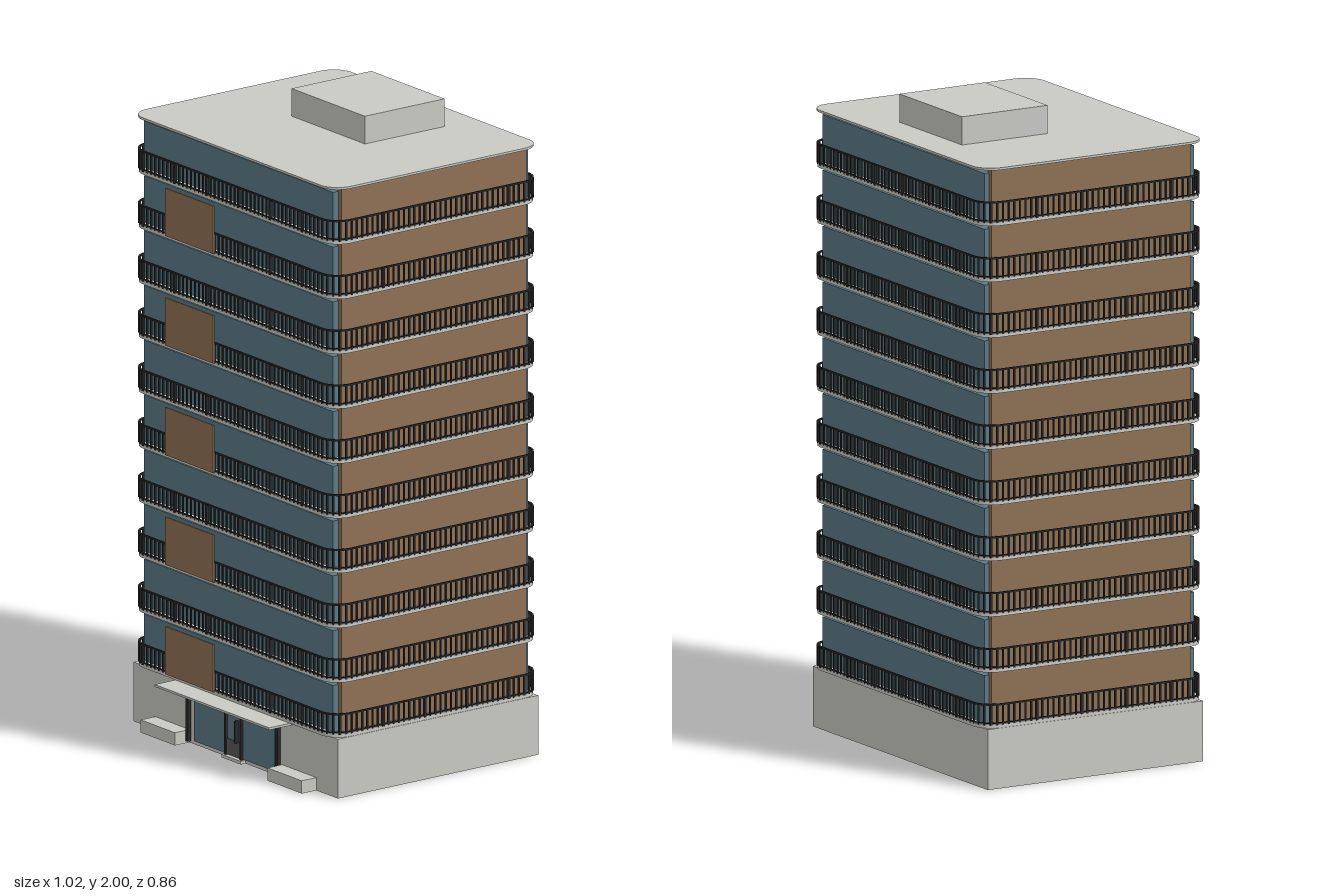
import * as THREE from 'three';
import { mergeGeometries } from 'three/addons/utils/BufferGeometryUtils.js';

const CZ = -0.038;            // centre of the tower in z
const FLOORS = 10, PITCH = 0.172, FIRST = 0.186, SLAB = 0.012;

const mat = (name, color) => {
  const m = new THREE.MeshStandardMaterial({ color });
  m.name = name;
  return m;
};

// Rounded rectangle outline; used for slabs and railings
function outline(hx, hz, r, target = new THREE.Shape()) {
  target.moveTo(-hx + r, -hz);
  target.lineTo(hx - r, -hz);
  target.absarc(hx - r, -hz + r, r, -Math.PI / 2, 0, false);
  target.lineTo(hx, hz - r);
  target.absarc(hx - r, hz - r, r, 0, Math.PI / 2, false);
  target.lineTo(-hx + r, hz);
  target.absarc(-hx + r, hz - r, r, Math.PI / 2, Math.PI, false);
  target.lineTo(-hx, -hz + r);
  target.absarc(-hx + r, -hz + r, r, Math.PI, Math.PI * 1.5, false);
  return target;
}

// Flat slab lying on y = 0
function flat(shape, depth) {
  const g = new THREE.ExtrudeGeometry(shape, { depth, bevelEnabled: false, curveSegments: 8 });
  return g.rotateX(-Math.PI / 2);
}

// Top rail, bottom rail and uprights as one geometry
function railingGeometry() {
  const ring = outline(0.507, 0.394, 0.065);
  ring.holes.push(outline(0.501, 0.388, 0.059, new THREE.Path()));
  const parts = [
    flat(ring, 0.005).translate(0, 0.061, 0),
    flat(ring, 0.003).translate(0, 0.005, 0),
  ].map(g => g.toNonIndexed ? (g.index ? g.toNonIndexed() : g) : g);
  const path = outline(0.504, 0.391, 0.062);
  const count = 176;
  path.getSpacedPoints(count).slice(0, count).forEach((p, i) => {
    const w = i % 8 === 0 ? 0.008 : 0.005;
    const bar = new THREE.BoxGeometry(w, 0.064, w).toNonIndexed();
    parts.push(bar.translate(p.x, 0.032, -p.y));
  });
  return mergeGeometries(parts);
}

export function createModel() {
  const model = new THREE.Group();
  model.name = 'apartmentTower';

  const concrete = mat('concrete', 0xc9cac4);
  const glass = mat('blueGlass', 0x5c7a85);
  const brown = mat('brownCladding', 0x8f7055);
  const dark = mat('darkMetal', 0x2b2b2d);
  const grey = mat('doorGrey', 0x5a5a5a);

  const add = (name, geo, material, x = 0, y = 0, z = 0, parent = model) => {
    const m = new THREE.Mesh(geo, material);
    m.name = name;
    m.position.set(x, y, z);
    parent.add(m);
    return m;
  };
  // Box given by its limits on each axis
  const box = (name, material, [x0, x1], [y0, y1], [z0, z1], parent = model) =>
    add(name, new THREE.BoxGeometry(x1 - x0, y1 - y0, z1 - z0), material,
      (x0 + x1) / 2, (y0 + y1) / 2, (z0 + z1) / 2, parent);

  // Ground floor block
  box('groundFloor', concrete, [-0.507, 0.507], [0, FIRST], [-0.417, 0.34]);

  // Storeys: balcony slab, railing, glazed body, side walls, front screen
  const slabGeo = flat(outline(0.505, 0.392, 0.063), SLAB);
  const railGeo = railingGeometry();
  for (let i = 0; i < FLOORS; i++) {
    const floor = new THREE.Group();
    floor.name = 'storey' + (i + 1);
    model.add(floor);
    const y = FIRST + i * PITCH, top = y + SLAB, next = y + PITCH;
    add('balconySlab', slabGeo, concrete, 0, y, CZ, floor);
    add('railing', railGeo, dark, 0, top - 0.003, CZ, floor);
    box('glazing', glass, [-0.47, 0.47], [top, next - 0.014], [-0.406, 0.33], floor);
    for (const s of [-1, 1]) {
      const xs = s > 0 ? [0.465, 0.485] : [-0.485, -0.465];
      box('sideWall', brown, xs, [top, next], [-0.39, 0.31], floor);
    }
    if (i % 2 === 0)
      box('frontScreen', brown, [-0.322, -0.083], [top - 0.002, next - 0.012], [0.357, 0.362], floor);
  }

  // Roof and plant room
  const roofY = FIRST + FLOORS * PITCH;
  add('roofSlab', flat(outline(0.507, 0.394, 0.065), 0.007), concrete, 0, roofY, CZ);
  box('plantRoom', concrete, [-0.183, 0.181], [roofY + 0.006, 2], [-0.311, -0.01]);

  // Entrance
  const entrance = new THREE.Group();
  entrance.name = 'entrance';
  model.add(entrance);
  box('canopy', concrete, [-0.284, 0.284], [0.178, 0.185], [0.335, 0.43], entrance);
  box('entranceGlass', glass, [-0.2, 0.2], [0.012, 0.166], [0.338, 0.345], entrance);
  box('doorstep', concrete, [-0.048, 0.048], [0, 0.01], [0.335, 0.358], entrance);
  box('doorKickPanel', grey, [-0.036, 0.036], [0.012, 0.062], [0.342, 0.348], entrance);
  box('doorLintel', dark, [-0.043, 0.043], [0.155, 0.163], [0.342, 0.352], entrance);
  box('doorHandle', dark, [0.018, 0.023], [0.06, 0.13], [0.348, 0.36], entrance);
  box('transomPost', dark, [-0.002, 0.002], [0.163, 0.178], [0.34, 0.347], entrance);
  for (const s of [-1, 1]) {
    add('doorJamb', new THREE.BoxGeometry(0.008, 0.15, 0.01), dark, s * 0.039, 0.085, 0.347, entrance);
    add('canopyPost', new THREE.BoxGeometry(0.011, 0.17, 0.012), dark, s * 0.222, 0.093, 0.35, entrance);
    add('planter', new THREE.BoxGeometry(0.17, 0.04, 0.06), concrete, s * 0.315, 0.02, 0.365, entrance);
  }
  return model;
}
